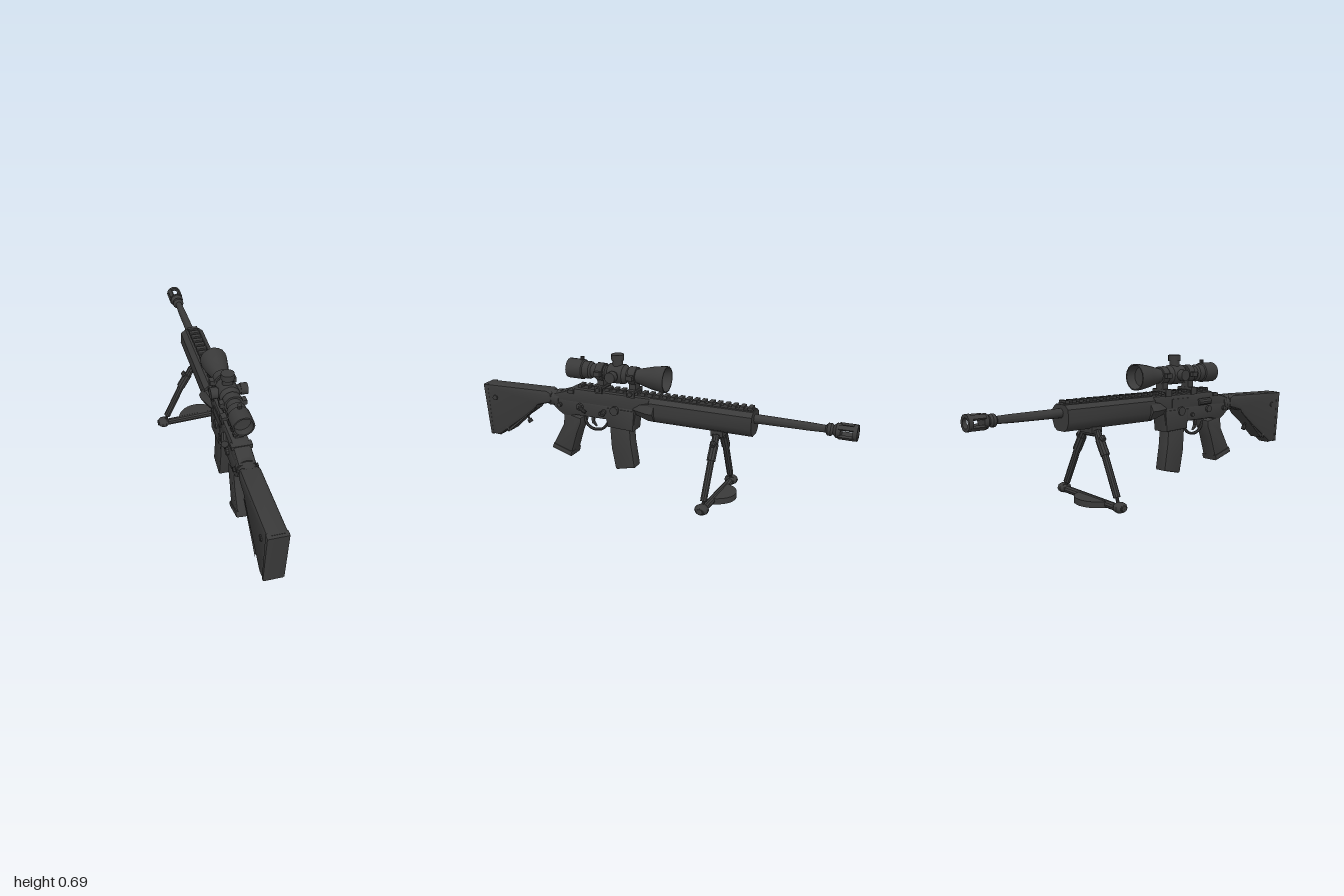
import * as THREE from 'three';
import { toCreasedNormals } from 'three/addons/utils/BufferGeometryUtils.js';

const gunmetal = new THREE.MeshStandardMaterial({ color: 0x3a3a3a });
gunmetal.name = 'gunmetal';

export function createModel() {
  const model = new THREE.Group();
  model.name = 'rifle';
  const CX = -0.007; // centre line of the rifle

  const add = (name, geo, x = 0, y = 0, z = 0) => {
    const mesh = new THREE.Mesh(toCreasedNormals(geo, 0.6), gunmetal);
    mesh.name = name;
    mesh.position.set(x, y, z);
    model.add(mesh);
    return mesh;
  };
  const box = (name, w, h, d, x, y, z) => add(name, new THREE.BoxGeometry(w, h, d), x, y, z);
  const toShape = (pts) => new THREE.Shape(pts.map((p) => new THREE.Vector2(p[0], p[1])));

  // side profile of [z, y] points, extruded across the width with rounded edges
  const side = (name, pts, width, bevel = 0.01, hole = null) => {
    const shape = toShape(pts);
    if (hole) shape.holes.push(toShape(hole));
    const geo = new THREE.ExtrudeGeometry(shape, {
      depth: width - 2 * bevel, bevelEnabled: bevel > 0, bevelThickness: bevel,
      bevelSize: bevel, bevelOffset: -bevel, bevelSegments: 2, curveSegments: 6,
    });
    geo.translate(0, 0, -(width / 2 - bevel));
    geo.rotateY(-Math.PI / 2);
    return add(name, geo, CX);
  };
  // round part along z from [z, radius] points
  const turned = (name, pts, x, y, sides = 16) => {
    const geo = new THREE.LatheGeometry(pts.map(([z, r]) => new THREE.Vector2(r, z)), sides);
    geo.rotateX(Math.PI / 2);
    return add(name, geo, x, y, 0);
  };
  // cylinder between two points
  const rod = (name, a, b, r1, r2 = r1, sides = 10) => {
    const p = new THREE.Vector3(...a), q = new THREE.Vector3(...b);
    const mesh = add(name, new THREE.CylinderGeometry(r2, r1, p.distanceTo(q), sides));
    mesh.position.copy(p).add(q).multiplyScalar(0.5);
    mesh.quaternion.setFromUnitVectors(new THREE.Vector3(0, 1, 0), q.sub(p).normalize());
    return mesh;
  };

  // stock with recessed web and butt pad
  const recess = [[0.91, 0.37], [0.69, 0.355], [0.85, 0.22]];
  side('stock', [[0.985, 0.455], [0.6, 0.465], [0.575, 0.45], [0.575, 0.4], [0.66, 0.375],
    [0.68, 0.345], [0.92, 0.165], [0.97, 0.168]], 0.098, 0.018, recess);
  side('stockWeb', [[0.93, 0.39], [0.67, 0.37], [0.85, 0.2]], 0.078, 0);
  side('buttPad', [[1, 0.452], [0.97, 0.455], [0.955, 0.168], [0.972, 0.168]], 0.1, 0.008);
  rod('stockPin', [-0.062, 0.385, 0.925], [0.05, 0.385, 0.925], 0.014);
  rod('adjusterStem', [CX, 0.31, 0.77], [CX, 0.27, 0.745], 0.006);
  rod('adjusterKnob', [CX, 0.272, 0.748], [CX, 0.255, 0.737], 0.013);
  turned('bufferTube', [[0.5, 0], [0.5, 0.043], [0.6, 0.043], [0.6, 0]], CX, 0.42);
  turned('stockCollar', [[0.53, 0], [0.53, 0.049], [0.55, 0.049], [0.55, 0]], CX, 0.42);

  // receiver
  side('upperReceiver', [[0.56, 0.455], [0.46, 0.487], [0.43, 0.497], [0.0, 0.497],
    [0.02, 0.4], [0.5, 0.4], [0.56, 0.41]], 0.085, 0.014);
  side('lowerReceiver', [[0.56, 0.43], [0.08, 0.43], [0.09, 0.37], [0.1, 0.31], [0.245, 0.315],
    [0.255, 0.352], [0.43, 0.352], [0.49, 0.335], [0.53, 0.36], [0.56, 0.385]], 0.09, 0.01);
  side('magazineWell', [[0.255, 0.42], [0.09, 0.42], [0.1, 0.31], [0.245, 0.315]], 0.1, 0.01);
  box('ejectionCover', 0.008, 0.045, 0.12, -0.05, 0.452, 0.2);
  for (const [y, z, r] of [[0.405, 0.4, 0.018], [0.41, 0.2, 0.023], [0.385, 0.28, 0.01], [0.4, 0.52, 0.012]])
    rod('receiverPin', [-0.064, y, z], [0.055, y, z], r);
  rod('forwardAssist', [-0.05, 0.445, 0.33], [-0.068, 0.45, 0.4], 0.018);
  box('chargingHandle', 0.1, 0.018, 0.035, CX, 0.478, 0.455);
  rod('boltCatch', [0.04, 0.4, 0.26], [0.068, 0.385, 0.26], 0.012);
  rod('selector', [0.055, 0.405, 0.4], [0.06, 0.385, 0.36], 0.009);

  // trigger and guard
  const guard = new THREE.CatmullRomCurve3([[0.405, 0.345], [0.385, 0.295], [0.345, 0.275],
    [0.295, 0.285], [0.265, 0.32], [0.25, 0.35]].map(([z, y]) => new THREE.Vector3(CX, y, z)));
  add('triggerGuard', new THREE.TubeGeometry(guard, 16, 0.008, 6));
  side('trigger', [[0.36, 0.36], [0.335, 0.36], [0.345, 0.32], [0.33, 0.293], [0.355, 0.31]], 0.016, 0);

  // grip and magazine
  side('grip', [[0.5, 0.36], [0.4, 0.34], [0.4, 0.31], [0.425, 0.25], [0.465, 0.12], [0.478, 0.117],
    [0.578, 0.15], [0.575, 0.17], [0.51, 0.29]], 0.095, 0.016);
  side('gripCap', [[0.465, 0.117], [0.578, 0.152], [0.568, 0.18], [0.457, 0.145]], 0.106, 0.008);
  side('magazine', [[0.238, 0.33], [0.124, 0.33], [0.118, 0.24], [0.098, 0.115], [0.1, 0.107],
    [0.2, 0.083], [0.208, 0.09], [0.23, 0.2]], 0.072, 0.008);

  // handguard, tapered ring behind it and toothed top rail
  const half = [[0.035, 0.498], [0.06, 0.478], [0.063, 0.42], [0.05, 0.39], [0.028, 0.375]];
  const section = [...half.map(([x, y]) => [-x, y]), ...half.slice().reverse()];
  add('handguard', new THREE.ExtrudeGeometry(toShape(section), { depth: 0.53, bevelEnabled: false }), CX, 0, -0.52);
  const ring = turned('handguardRing', [[-0.03, 0], [-0.02, 0.08], [0.01, 0.08], [0.1, 0.046], [0.1, 0]], CX, 0.428, 8);
  ring.scale.y = 0.72;
  box('rail', 0.04, 0.02, 0.94, CX, 0.497, -0.045);
  for (let i = 0; i < 24; i++) box('railTooth', 0.052, 0.014, 0.022, CX, 0.509, 0.41 - i * 0.0395);

  // barrel with open muzzle cage
  turned('barrel', [[-0.87, 0], [-0.87, 0.017], [-0.78, 0.02], [-0.5, 0.023], [-0.5, 0]], CX, 0.458, 12);
  turned('muzzleCollar', [[-0.925, 0], [-0.925, 0.034], [-0.905, 0.036], [-0.89, 0.022],
    [-0.88, 0.03], [-0.865, 0.03], [-0.855, 0.018], [-0.855, 0]], CX, 0.458, 12);
  turned('muzzleRing', [[-0.98, 0.024], [-1, 0.024], [-1, 0.039], [-0.98, 0.039], [-0.98, 0.024]], CX, 0.458, 12);
  for (let i = 0; i < 4; i++) {
    const a = Math.PI / 4 + i * Math.PI / 2;
    const bar = box('muzzleBar', 0.012, 0.022, 0.075, CX + 0.032 * Math.cos(a), 0.458 + 0.032 * Math.sin(a), -0.952);
    bar.rotation.z = a;
  }

  // scope, hollow at both ends
  const SX = -0.002, SY = 0.595;
  turned('scope', [[-0.02, 0], [-0.025, 0.05], [-0.07, 0.06], [-0.07, 0.066], [-0.05, 0.066], [0.01, 0.056],
    [0.09, 0.036], [0.14, 0.036], [0.16, 0.05], [0.24, 0.05], [0.26, 0.036], [0.34, 0.036], [0.35, 0.045],
    [0.385, 0.045], [0.39, 0.051], [0.475, 0.051], [0.475, 0.044], [0.44, 0.042], [0.435, 0]], SX, SY);
  rod('elevationTurret', [SX, SY, 0.2], [SX, 0.675, 0.2], 0.026, 0.026, 14);
  rod('elevationCap', [SX, 0.665, 0.2], [SX, 0.695, 0.2], 0.032, 0.032, 14);
  rod('windageTurret', [-0.06, SY, 0.2], [0.07, SY, 0.2], 0.023, 0.023, 14);
  for (const s of [-1, 1])
    rod('windageCap', [0.003 + s * 0.055, SY, 0.2], [0.003 + s * 0.089, SY, 0.2], 0.028, 0.028, 14);
  rod('zoomStud', [SX, 0.635, 0.4], [SX, 0.662, 0.4], 0.01);

  // scope mounts
  for (const z of [0.29, 0.11]) {
    turned('scopeRing', [[z - 0.02, 0.03], [z - 0.02, 0.046], [z + 0.02, 0.046], [z + 0.02, 0.03]], SX, SY, 12);
    for (const s of [-1, 1]) {
      box('ringLug', 0.022, 0.024, 0.034, SX + s * 0.053, SY, z);
      box('mountClamp', 0.008, 0.036, 0.04, CX + s * 0.047, 0.508, z);
    }
    box('mountNeck', 0.05, 0.04, 0.036, CX, 0.54, z);
    box('mountFoot', 0.1, 0.014, 0.04, CX, 0.52, z);
    rod('mountScrew', [0.035, 0.51, z], [0.055, 0.51, z], 0.012);
  }

  // bipod
  const BZ = -0.345;
  box('bipodMount', 0.09, 0.03, 0.06, CX, 0.368, BZ);
  rod('bipodPivot', [-0.065, 0.352, BZ], [0.05, 0.352, BZ], 0.018);
  for (const [s, footY] of [[-1, 0.027], [1, 0.047]]) {
    const at = (x, y) => [CX * (1 - x / 0.2) + s * x, y, BZ];
    rod('legTop', at(0.045, 0.365), at(0.08, 0.3), 0.018);
    rod('legSleeve', at(0.068, 0.325), at(0.11, 0.255), 0.022);
    rod('legTube', at(0.1, 0.27), at(0.196, 0.07 + (s + 1) * 0.005), 0.017);
    rod('legTip', at(0.19, 0.085), at(0.21, footY), 0.008);
    rod('wingStem', at(0.06, 0.31), at(0.095, 0.335), 0.008);
    rod('wingKnob', at(0.083, 0.338), at(0.1, 0.326), 0.016, 0.013);
    const foot = add('bipodFoot', new THREE.SphereGeometry(1, 10, 6), s * 0.218, footY, BZ);
    foot.scale.set(0.033, 0.026, 0.036);
    rod('footTip', [s * 0.2, footY, BZ], [s * 0.25, footY, BZ], 0.026, 0.015, 8);
  }
  rod('footBar', [-0.2, 0.023, BZ], [0.2, 0.041, BZ], 0.018, 0.018, 10);

  // curved rest plate in front of the foot bar
  const rest = new THREE.Shape();
  rest.moveTo(-0.13, 0);
  rest.bezierCurveTo(-0.1, 0.12, 0.06, 0.12, 0.09, 0);
  const restGeo = new THREE.ExtrudeGeometry(rest, { depth: 0.03, bevelEnabled: false, curveSegments: 12 });
  restGeo.rotateX(-Math.PI / 2);
  add('footRest', restGeo, 0, 0.015, BZ).rotation.z = 0.04;

  return model;
}
